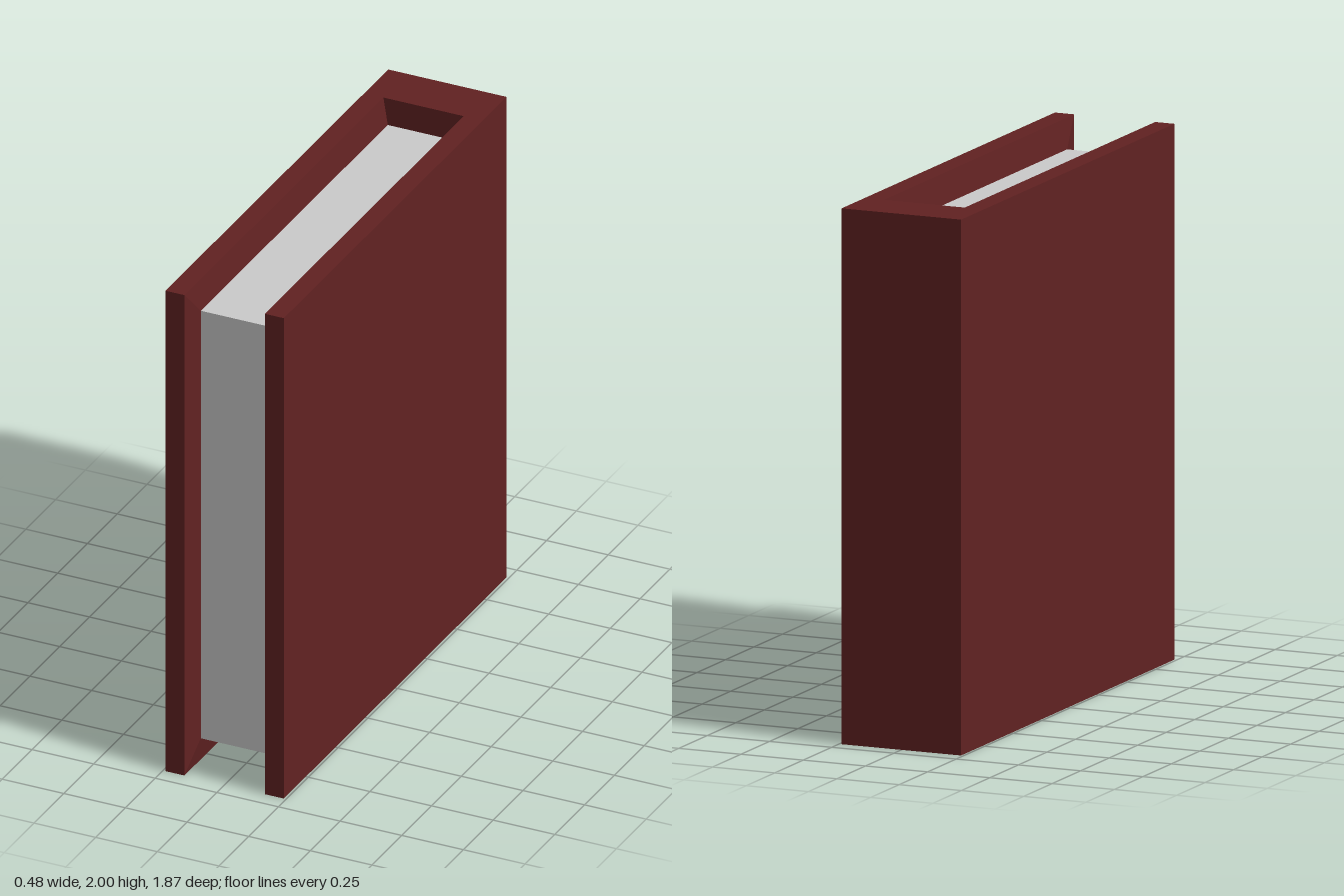
import * as THREE from 'three';

const HALF_W = 0.24, HEIGHT = 2, HALF_D = 0.935;
const GROOVE = 0.163;   // half width of the cover opening at its rim
const PAGE = 0.145;     // half width of the page block
const SPINE_Z = -0.735; // inner face of the spine
const PAGE_Z = 0.835;   // fore edge of the pages
const INSET = 0.11;     // pages sit this far inside the top and bottom

export function createModel() {
  const coverRed = new THREE.MeshStandardMaterial({ color: 0x622222 });
  coverRed.name = 'coverRed';
  const paper = new THREE.MeshStandardMaterial({ color: 0xcccccc });
  paper.name = 'paper';

  const book = new THREE.Group();
  book.name = 'book';
  const add = (name, geometry, material) => {
    const mesh = new THREE.Mesh(geometry, material);
    mesh.name = name;
    book.add(mesh);
    return mesh;
  };

  // Cover: a U-shaped plan of spine and two boards, extruded upwards
  const plan = new THREE.Shape([
    [-HALF_W, HALF_D], [-HALF_W, -HALF_D], [-GROOVE, -HALF_D], [-GROOVE, -SPINE_Z],
    [GROOVE, -SPINE_Z], [GROOVE, -HALF_D], [HALF_W, -HALF_D], [HALF_W, HALF_D],
  ].map(([x, y]) => new THREE.Vector2(x, y)));
  const cover = new THREE.ExtrudeGeometry(plan, { depth: HEIGHT, bevelEnabled: false });
  cover.rotateX(-Math.PI / 2);
  add('cover', cover, coverRed);

  // Board linings: slope from the rim of each board in to the page block
  for (const side of [1, -1]) {
    const depth = HALF_D - SPINE_Z;
    const lining = new THREE.BoxGeometry(GROOVE - PAGE, HEIGHT, depth);
    lining.translate(side * (GROOVE + PAGE) / 2, HEIGHT / 2, SPINE_Z + depth / 2);
    const p = lining.attributes.position;
    for (let i = 0; i < p.count; i++) {
      if (Math.abs(p.getX(i)) > (GROOVE + PAGE) / 2) continue;
      p.setY(i, p.getY(i) > 1 ? HEIGHT - INSET : INSET);
      if (p.getZ(i) > 0) p.setZ(i, PAGE_Z);
    }
    const flat = lining.toNonIndexed();
    flat.computeVertexNormals();
    add(side > 0 ? 'leftLining' : 'rightLining', flat, coverRed);
  }

  // Page block
  const pages = add('pages',
    new THREE.BoxGeometry(PAGE * 2, HEIGHT - INSET * 2, PAGE_Z - SPINE_Z), paper);
  pages.position.set(0, HEIGHT / 2, (PAGE_Z + SPINE_Z) / 2);

  return book;
}
